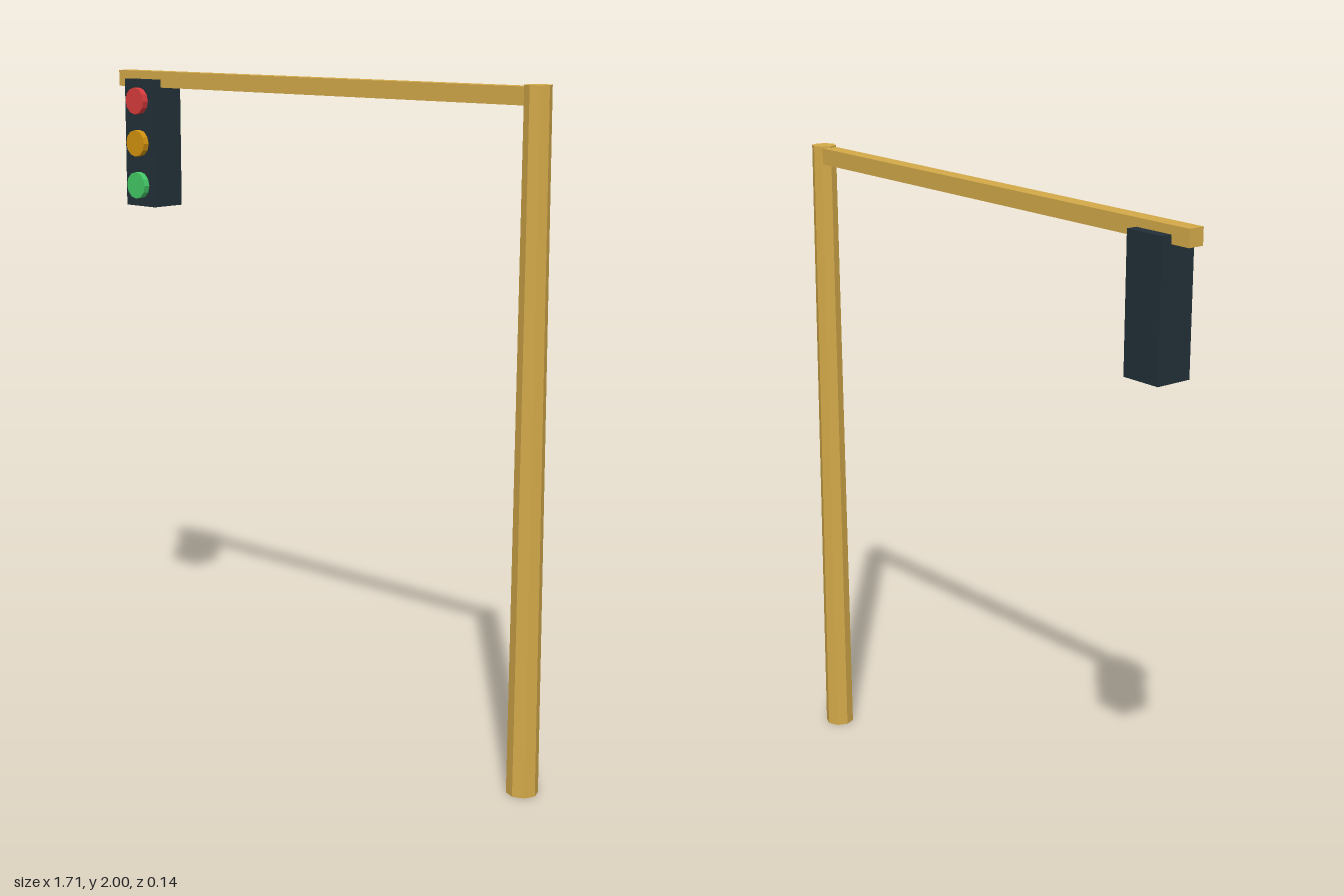
import * as THREE from 'three';

const material = (name, color) => {
  const m = new THREE.MeshStandardMaterial({ color, flatShading: true });
  m.name = name;
  return m;
};

export function createModel() {
  const group = new THREE.Group();
  group.name = 'trafficLight';

  const ochre = material('ochre', 0xd4aa4a);
  const charcoal = material('charcoal', 0x222f38);
  const lampColors = [
    ['red', material('red', 0xd93c3c)],
    ['amber', material('amber', 0xd3930f)],
    ['green', material('green', 0x44c966)],
  ];

  const add = (name, geometry, mat, x, y, z) => {
    const mesh = new THREE.Mesh(geometry, mat);
    mesh.name = name;
    mesh.position.set(x, y, z);
    group.add(mesh);
    return mesh;
  };

  // Tapered eight-sided pole
  add('pole', new THREE.CylinderGeometry(0.038, 0.046, 2, 8), ochre, 0.808, 1, -0.01);

  // Horizontal arm, ending inside the pole
  add('arm', new THREE.BoxGeometry(1.663, 0.05, 0.05), ochre, -0.0235, 1.97, -0.01);

  // Signal housing hung near the end of the arm
  add('housing', new THREE.BoxGeometry(0.132, 0.4, 0.116), charcoal, -0.724, 1.77, -0.01);

  // Three lamps facing forward
  lampColors.forEach(([color, mat], i) => {
    const geometry = new THREE.CylinderGeometry(0.042, 0.042, 0.03, 12);
    geometry.rotateX(Math.PI / 2);
    add(color + 'Lamp', geometry, mat, -0.724, 1.903 - i * 0.133, 0.053);
  });

  return group;
}
